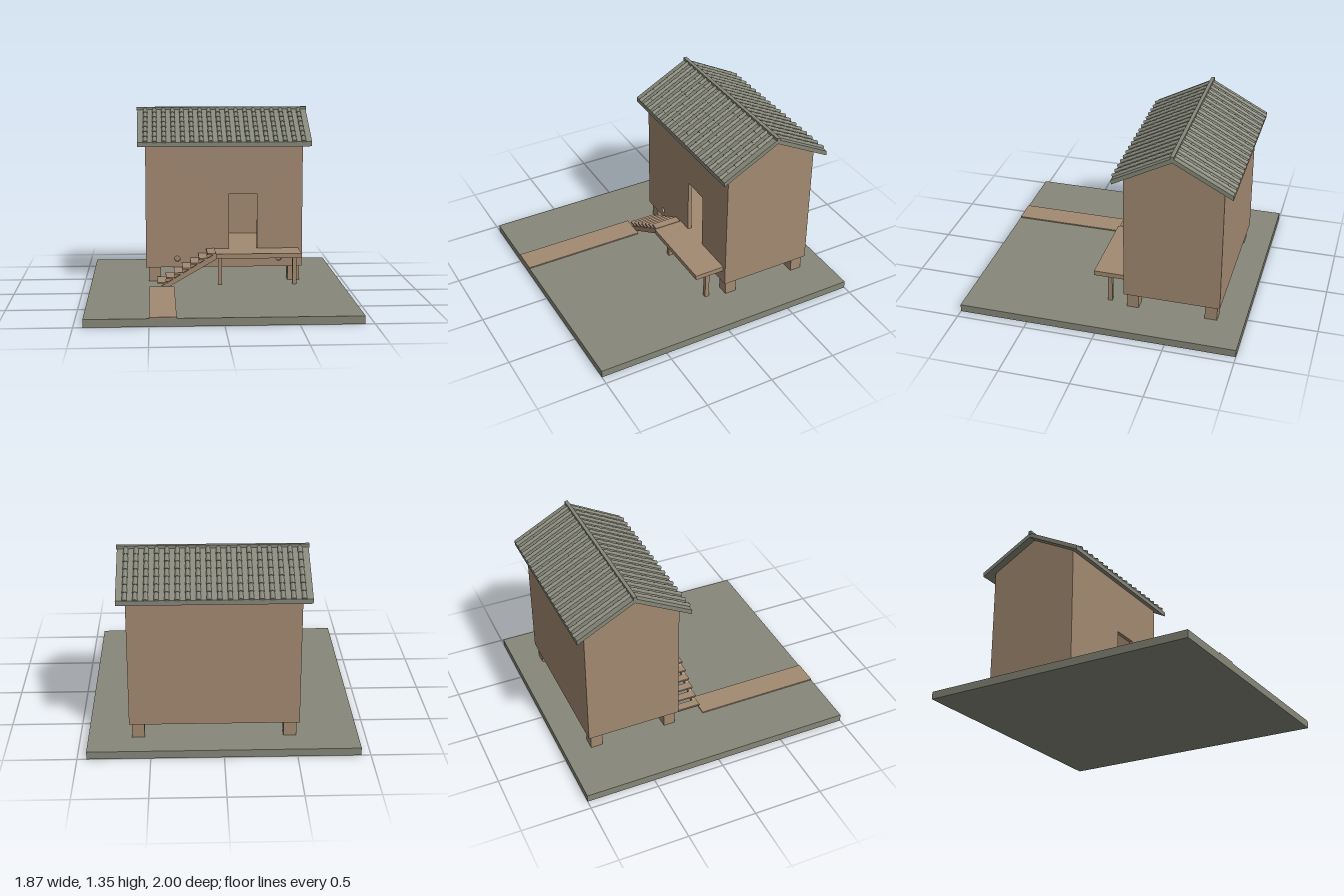
import * as THREE from 'three';
import { mergeGeometries } from 'three/addons/utils/BufferGeometryUtils.js';

export function createModel() {
  const model = new THREE.Group();
  model.name = 'raisedStorehouse';
  const stone = new THREE.MeshStandardMaterial({ color: 0x87887a });
  stone.name = 'greyStone';
  const wood = new THREE.MeshStandardMaterial({ color: 0xa38a72 });
  wood.name = 'tanWood';

  const add = (name, geometry, material) => {
    const mesh = new THREE.Mesh(geometry, material);
    mesh.name = name;
    model.add(mesh);
    return mesh;
  };
  // Box from its minimum and maximum on each axis
  const box = (name, material, x0, x1, y0, y1, z0, z1) => {
    const g = new THREE.BoxGeometry(x1 - x0, y1 - y0, z1 - z0);
    g.translate((x0 + x1) / 2, (y0 + y1) / 2, (z0 + z1) / 2);
    return add(name, g, material);
  };
  const polygon = (points) => new THREE.Shape(points.map(([a, b]) => new THREE.Vector2(a, b)));
  // Outline in (z, y) swept along x
  const sweepX = (points, x0, x1) => {
    const g = new THREE.ExtrudeGeometry(polygon(points), { depth: x1 - x0, bevelEnabled: false });
    return g.rotateY(-Math.PI / 2).translate(x1, 0, 0);
  };

  // Ground slab and path
  box('ground', stone, -0.935, 0.935, 0, 0.055, -1, 1);
  box('path', wood, -0.5, -0.317, 0.055, 0.064, 0.08, 1);

  // House dimensions
  const left = -0.525, right = 0.65, front = -0.13, back = -0.825, bottom = 0.165;
  const ridgeZ = -0.4775, ridgeY = 1.3, slope = 0.53, wall = 0.03;
  const roofY = (z) => ridgeY - slope * Math.abs(z - ridgeZ);
  const eaveY = roofY(front);

  // Corner piers
  for (const [x0, x1] of [[-0.505, -0.415], [0.545, 0.632]])
    for (const [z0, z1] of [[-0.237, -0.15], [-0.805, -0.717]])
      box('pier', wood, x0, x1, 0.055, bottom, z0, z1);

  // Front wall with doorway and two round holes
  const frontShape = polygon([[left, bottom], [right, bottom], [right, eaveY], [left, eaveY]]);
  frontShape.holes.push(new THREE.Path(
    [[0.1, 0.303], [0.1, 0.72], [0.31, 0.72], [0.31, 0.303]].map(([x, y]) => new THREE.Vector2(x, y))));
  for (const x of [-0.29, 0.475])
    frontShape.holes.push(new THREE.Path().absarc(x, 0.228, 0.021, 0, Math.PI * 2, true));
  const frontWall = new THREE.ExtrudeGeometry(frontShape, { depth: wall, bevelEnabled: false });
  add('frontWall', frontWall.translate(0, 0, front - wall), wood);

  // Remaining walls and raised floor
  box('backWall', wood, left, right, bottom, eaveY, back, back + wall);
  const gable = [[front, bottom], [front, eaveY], [ridgeZ, ridgeY], [back, eaveY], [back, bottom]];
  add('gableWallRight', sweepX(gable, left, left + wall), wood);
  add('gableWallLeft', sweepX(gable, right - wall, right), wood);
  box('floor', wood, left + wall, right - wall, bottom, 0.303, back + wall, front - wall);

  // Roof slab with a folded section
  const eaveFront = -0.062, eaveBack = -0.893, thick = 0.034;
  add('roofSlab', sweepX([
    [eaveFront, roofY(eaveFront)], [eaveFront, roofY(eaveFront) + thick],
    [ridgeZ, ridgeY + thick],
    [eaveBack, roofY(eaveBack) + thick], [eaveBack, roofY(eaveBack)],
    [ridgeZ, ridgeY],
  ], -0.585, 0.71), stone);
  box('ridgeCap', stone, -0.59, 0.715, 1.322, 1.348, ridgeZ - 0.013, ridgeZ + 0.013);

  // Tapered round tiles, overlapping down both slopes
  const columns = 18, rows = 7, angle = Math.atan(slope);
  const run = (eaveFront - ridgeZ) / rows;
  const tiles = [];
  for (const side of [1, -1])
    for (let c = 0; c < columns; c++)
      for (let r = 0; r < rows; r++) {
        const tile = new THREE.CylinderGeometry(0.0145, 0.0185, run / Math.cos(angle) + 0.004, 10);
        const z = ridgeZ + side * run * (r + 0.5);
        tile.rotateX(side * (angle - Math.PI / 2));
        tile.translate(left + c * (right - left) / (columns - 1), roofY(z) + thick - 0.002, z);
        tiles.push(tile);
      }
  add('roofTiles', mergeGeometries(tiles), stone);

  // Porch deck on two posts
  box('porchDeck', wood, -0.01, 0.622, 0.27, 0.305, front, 0.094);
  for (const x of [0.01, 0.565]) box('porchPost', wood, x, x + 0.03, 0.055, 0.27, -0.032, 0);

  // Stair treads
  for (let i = 0; i < 7; i++) {
    const x = -0.44 + 0.061 * i, y = 0.083 + 0.0355 * i;
    box('stairTread', wood, x, x + 0.063, y, y + 0.012, -0.122, 0.081);
  }
  // Sloping stair stringers
  const stringer = polygon([[-0.415, 0.064], [-0.35, 0.064], [-0.01, 0.262], [-0.01, 0.296], [-0.03, 0.296]]);
  for (const z of [-0.115, 0.053]) {
    const g = new THREE.ExtrudeGeometry(stringer, { depth: 0.027, bevelEnabled: false });
    add('stairStringer', g.translate(0, 0, z), wood);
  }
  return model;
}
